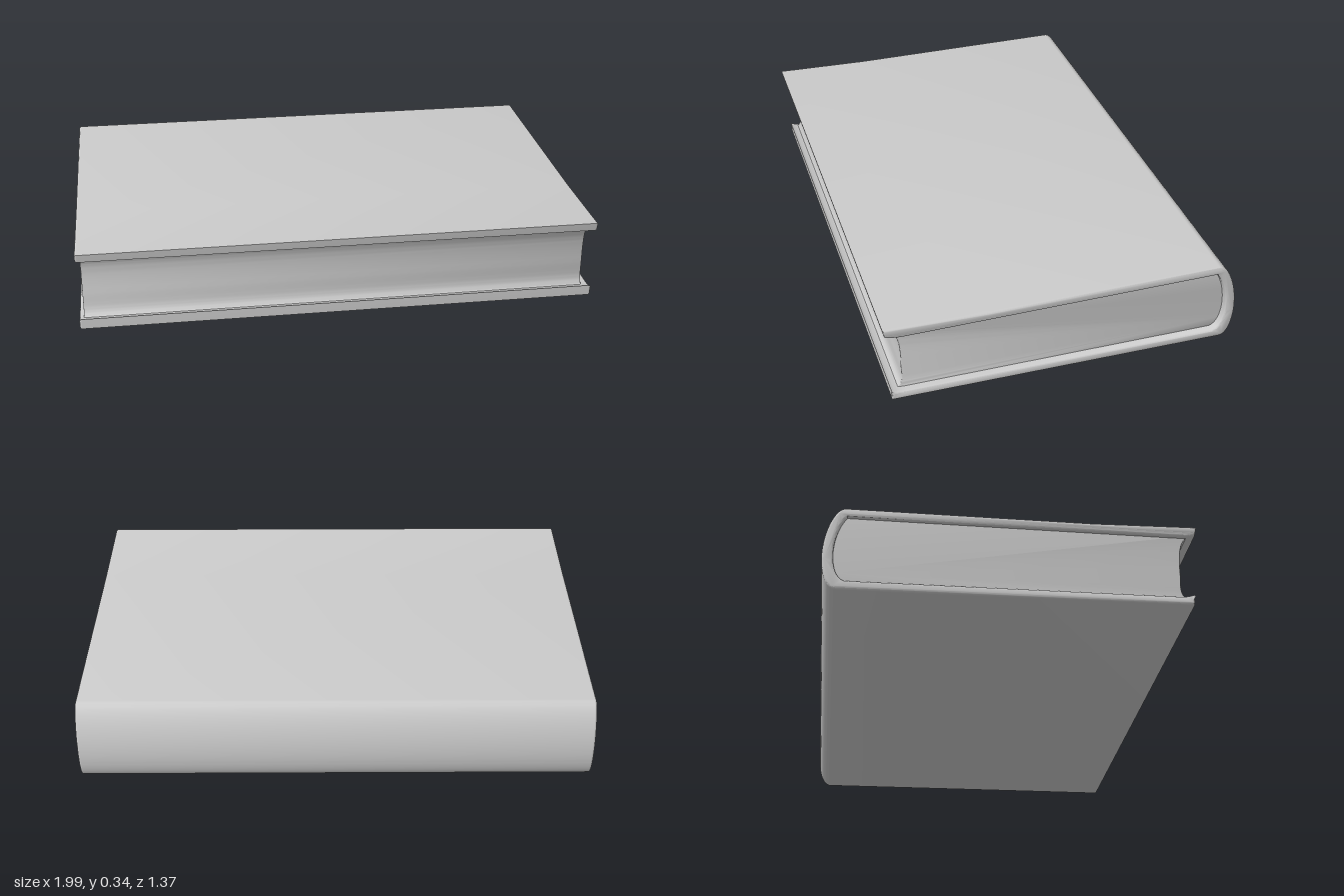
import * as THREE from 'three';
import { toCreasedNormals } from 'three/addons/utils/BufferGeometryUtils.js';

const material = new THREE.MeshStandardMaterial({ color: 0xcccccc });

// Extrude a (z, y) profile along x, from x0 to x1, with rounded edges
function extrudeAlongX(name, shape, x0, x1, round) {
  let geometry = new THREE.ExtrudeGeometry(shape, {
    depth: x1 - x0 - 2 * round,
    curveSegments: 20,
    bevelEnabled: true,
    bevelThickness: round,
    bevelSize: round,
    bevelOffset: -round,
    bevelSegments: 4,
  });
  geometry.rotateY(-Math.PI / 2);
  geometry.translate(x1 - round, 0, 0);
  geometry = toCreasedNormals(geometry, 0.7);
  const mesh = new THREE.Mesh(geometry, material);
  mesh.name = name;
  return mesh;
}

// Cover: two boards joined by a rounded spine, open at the front
function coverProfile() {
  const s = new THREE.Shape();
  s.moveTo(0.66, 0.012);
  s.lineTo(0.662, 0.054);
  s.quadraticCurveTo(0.64, 0.042, 0.6, 0.042);
  s.lineTo(-0.6, 0.036);
  s.bezierCurveTo(-0.66, 0.05, -0.66, 0.22, -0.6, 0.298);
  s.lineTo(0.6, 0.293);
  s.quadraticCurveTo(0.65, 0.293, 0.678, 0.303);
  s.lineTo(0.685, 0.336);
  s.lineTo(0.3, 0.328);
  s.lineTo(-0.605, 0.332);
  s.bezierCurveTo(-0.645, 0.332, -0.685, 0.23, -0.685, 0.13);
  s.bezierCurveTo(-0.685, 0.06, -0.665, 0, -0.63, 0);
  s.lineTo(0, 0.006);
  s.closePath();
  return s;
}

// Pages: hollow fore edge flaring towards both boards, rounded back
function pagesProfile() {
  const s = new THREE.Shape();
  s.moveTo(0.655, 0.03);
  s.bezierCurveTo(0.6, 0.055, 0.62, 0.09, 0.617, 0.16);
  s.bezierCurveTo(0.617, 0.26, 0.63, 0.285, 0.66, 0.308);
  s.lineTo(-0.6, 0.31);
  s.bezierCurveTo(-0.67, 0.24, -0.67, 0.05, -0.6, 0.024);
  s.closePath();
  return s;
}

export function createModel() {
  const book = new THREE.Group();
  book.name = 'book';
  book.add(
    extrudeAlongX('cover', coverProfile(), -0.997, 0.997, 0.009),
    extrudeAlongX('pageBlock', pagesProfile(), -0.98, 0.966, 0.004),
  );
  return book;
}
